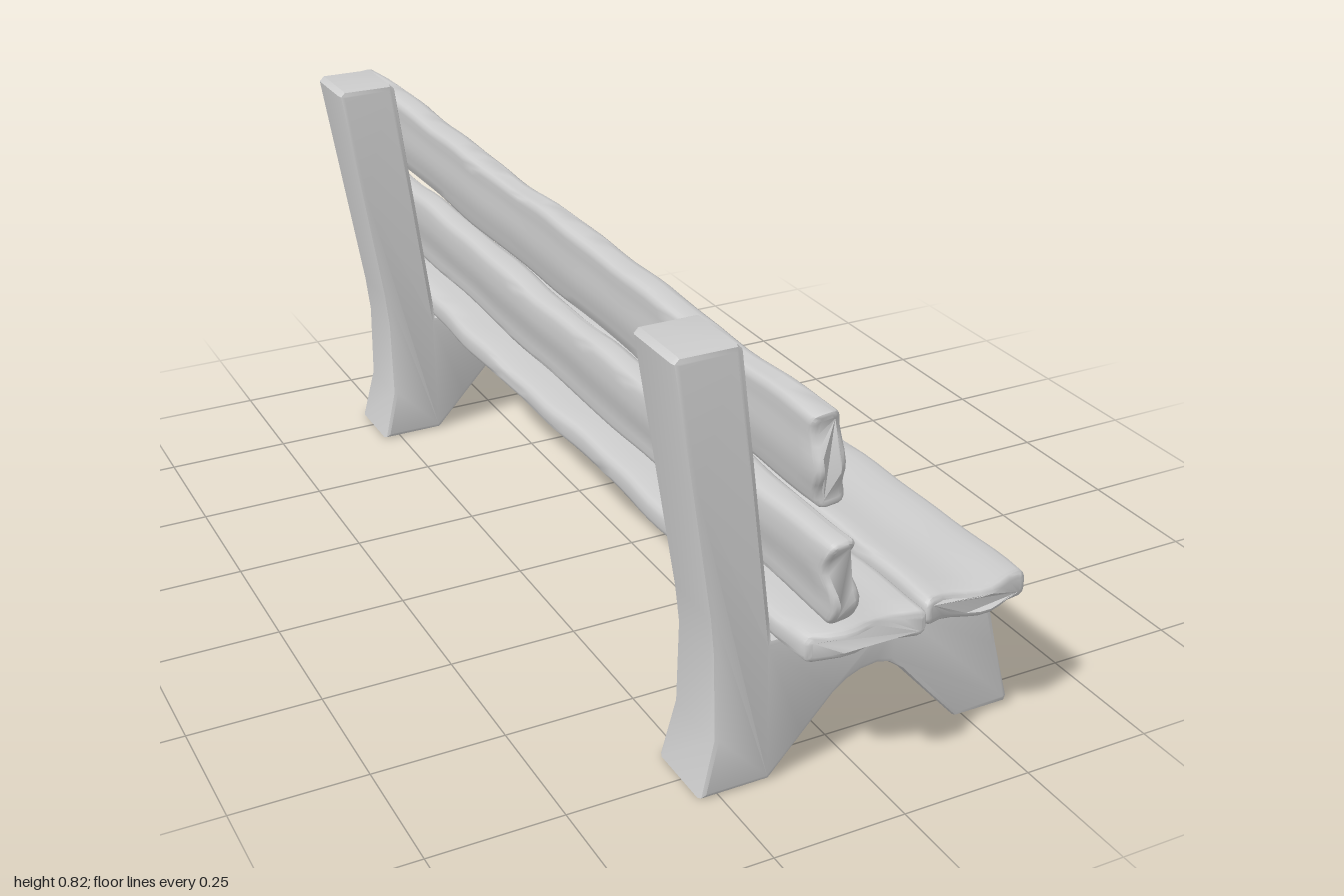
import * as THREE from 'three';
import { toCreasedNormals } from 'three/addons/utils/BufferGeometryUtils.js';

const material = new THREE.MeshStandardMaterial({ color: 0xcccccc });

// Move every vertex of a geometry by a rule, then smooth all but the sharp edges
function reshape(geometry, rule, crease) {
  const p = geometry.attributes.position;
  const v = new THREE.Vector3();
  for (let i = 0; i < p.count; i++) {
    v.fromBufferAttribute(p, i);
    rule(v);
    p.setXYZ(i, v.x, v.y, v.z);
  }
  return toCreasedNormals(geometry, crease);
}

// Gentle irregular wave for hand-cut edges, roughly -1 to 1
const wave = (t, seed) =>
  0.5 * Math.sin(7 * t + seed) + 0.3 * Math.sin(15 * t + 2.3 * seed) + 0.2 * Math.sin(29 * t + 4.1 * seed);

// Rounded rectangle with extra points along the two long sides
function plankSection(w, t, r) {
  const pts = [];
  const a = w / 2 - r, b = t / 2 - r, n = 8;
  const corner = (cx, cy, start) => {
    for (let i = 0; i <= 3; i++) {
      const ang = start + (i / 3) * Math.PI / 2;
      pts.push(new THREE.Vector2(cx + r * Math.cos(ang), cy + r * Math.sin(ang)));
    }
  };
  corner(a, b, 0);
  for (let i = 1; i < n; i++) pts.push(new THREE.Vector2(a - 2 * a * i / n, t / 2));
  corner(-a, b, Math.PI / 2);
  corner(-a, -b, Math.PI);
  for (let i = 1; i < n; i++) pts.push(new THREE.Vector2(-a + 2 * a * i / n, -t / 2));
  corner(a, -b, Math.PI * 1.5);
  return new THREE.Shape(pts);
}

// Rough board running along z; width lies on local x, thickness on local y
function plank({ name, w, t, z0, z1, x, y, tilt = 0, drift = 0, seed }) {
  const bevel = 0.012;
  const geometry = new THREE.ExtrudeGeometry(plankSection(w, t, 0.016), {
    depth: z1 - z0 - 2 * bevel, steps: 44,
    bevelEnabled: true, bevelThickness: bevel, bevelSize: bevel, bevelOffset: -bevel, bevelSegments: 3,
  });
  geometry.translate(0, 0, z0 + bevel);
  const shaped = reshape(geometry, (v) => {
    const { x: u, y: h, z } = v;
    const side = u / (w / 2);
    const edge = wave(z, seed + (side > 0 ? 0 : 2.7));
    v.x = u + 0.007 * edge * side + drift * z;
    v.y = h + 0.003 * wave(z, seed + 5) * Math.sign(h) + 0.003 * Math.cos(side * 4 + seed);
    // Uneven saw cut, fading in near the ends only
    const nearEnd = THREE.MathUtils.smoothstep(Math.abs(z), 0.8, 0.92);
    v.z = z + nearEnd * 0.011 * Math.sin(side * 4.5 + seed * 1.7 + Math.sign(z));
  }, 0.8);
  const mesh = new THREE.Mesh(shaped, material);
  mesh.name = name;
  mesh.position.set(x, y, 0);
  mesh.rotation.z = tilt;
  return mesh;
}

// Side support: leaning back post, two splayed feet and an arch in one piece
function supportGeometry() {
  const profile = [
    [-0.285, 0.003], [-0.153, 0.003], [-0.085, 0.073], [-0.025, 0.134], [0, 0.152], [0.028, 0.163],
    [0.06, 0.167], [0.085, 0.161], [0.112, 0.141], [0.165, 0.08], [0.228, 0.01], [0.335, 0.01], [0.34, 0.022],
    [0.31, 0.14], [0.295, 0.21], [0.284, 0.26], [0.272, 0.272], [0.1, 0.272], [-0.147, 0.272],
    [-0.153, 0.32], [-0.186, 0.565], [-0.218, 0.812], [-0.228, 0.822], [-0.331, 0.822], [-0.341, 0.812],
    [-0.304, 0.58], [-0.267, 0.345], [-0.259, 0.27], [-0.259, 0.11],
  ].map(([x, y]) => new THREE.Vector2(x, y));
  const bevel = 0.01, depth = 0.14;
  const geometry = new THREE.ExtrudeGeometry(new THREE.Shape(profile), {
    depth: depth - 2 * bevel, bevelEnabled: true,
    bevelThickness: bevel, bevelSize: bevel, bevelOffset: -bevel, bevelSegments: 2,
  });
  geometry.translate(0, 0, -depth / 2 + bevel);
  // Feet flare outwards, the waist under the seat is narrower
  return reshape(geometry, (v) => {
    const foot = 1 - THREE.MathUtils.clamp(v.y / 0.27, 0, 1);
    const post = THREE.MathUtils.clamp((v.y - 0.27) / 0.4, 0, 1);
    v.z *= 0.9 + 0.18 * foot + 0.1 * post;
  }, 0.6);
}

export function createModel() {
  const bench = new THREE.Group();
  bench.name = 'bench';

  // Supports
  const geometry = supportGeometry();
  for (const side of [1, -1]) {
    const support = new THREE.Mesh(geometry, material);
    support.name = side > 0 ? 'leftSupport' : 'rightSupport';
    support.position.z = side * 0.743;
    bench.add(support);
  }

  // Seat boards
  bench.add(plank({ name: 'rearSeatBoard', w: 0.228, t: 0.05, z0: -0.915, z1: 0.9, x: -0.035, y: 0.296, drift: 0.008, seed: 1.2 }));
  bench.add(plank({ name: 'frontSeatBoard', w: 0.208, t: 0.05, z0: -0.93, z1: 0.89, x: 0.194, y: 0.296, drift: 0.008, seed: 3.6 }));

  // Backrest boards
  const tilt = Math.PI / 2 + 0.11;
  bench.add(plank({ name: 'upperBackBoard', w: 0.162, t: 0.052, z0: -0.985, z1: 0.99, x: -0.17, y: 0.69, tilt, seed: 0.4 }));
  bench.add(plank({ name: 'lowerBackBoard', w: 0.155, t: 0.052, z0: -0.99, z1: 0.985, x: -0.137, y: 0.475, tilt, seed: 5.1 }));

  return bench;
}
